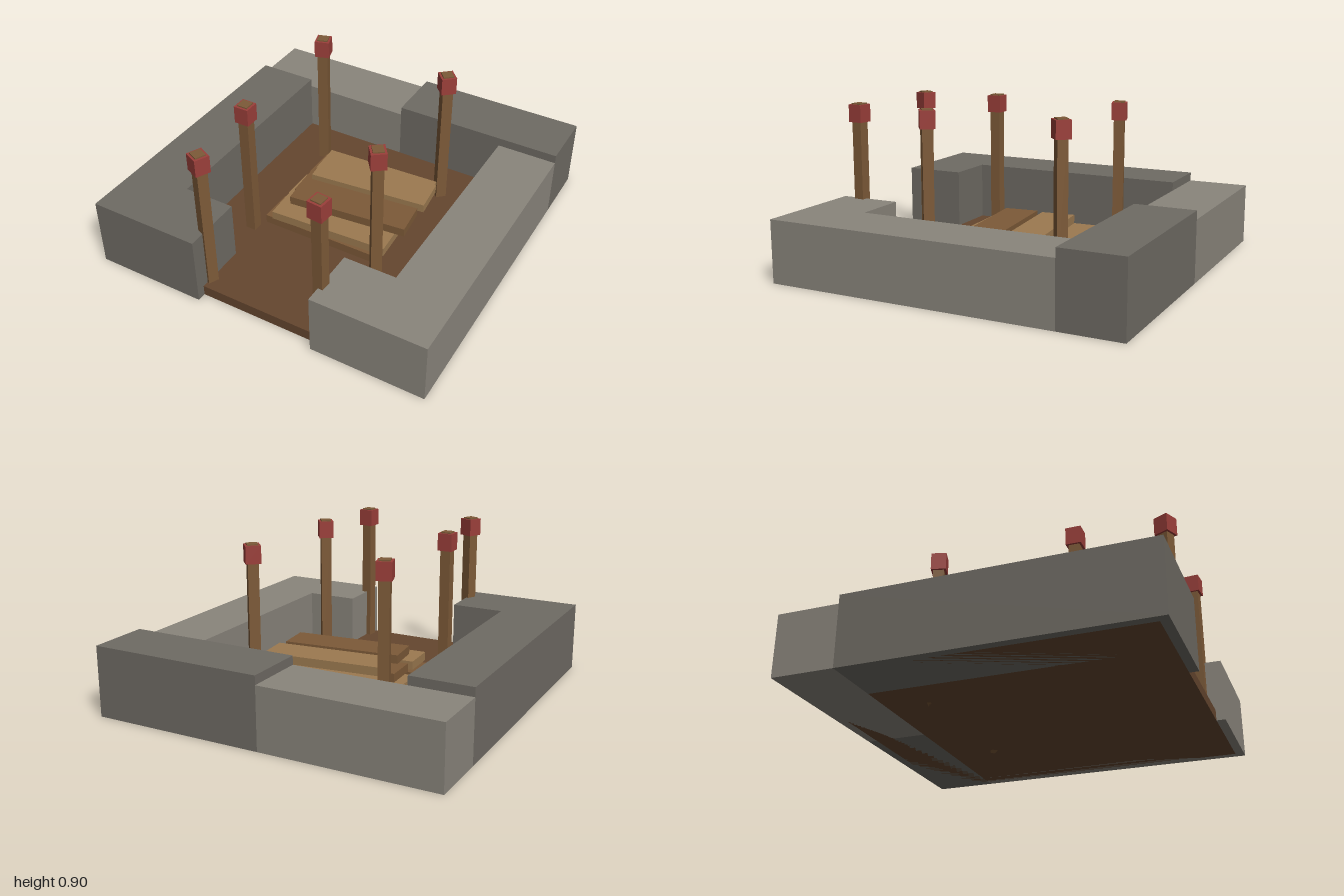
import * as THREE from 'three';

const mat = (color) => new THREE.MeshStandardMaterial({ color, flatShading: true });

export function createModel() {
  const model = new THREE.Group();
  const darkStone = mat(0x6f6b64), lightStone = mat(0x8a857c);
  const floorWood = mat(0x65462f), brownWood = mat(0x7d5a38);
  const paleWood = mat(0x9c7a50), red = mat(0x9b3f3a);

  function add(name, geometry, material, x, y, z, turn = 0, parent = model) {
    const mesh = new THREE.Mesh(geometry, material);
    mesh.name = name;
    mesh.position.set(x, y, z);
    mesh.rotation.y = turn;
    parent.add(mesh);
    return mesh;
  }

  // L-shaped side walls, turned inwards at the front to leave an entrance
  function sideWall(name, side, height, material) {
    const outline = [[1, -0.65], [1, 1], [0.35, 1], [0.35, 0.65], [0.65, 0.65], [0.65, -0.65]];
    const shape = new THREE.Shape(outline.map(([x, z]) => new THREE.Vector2(side * x, -z)));
    const geometry = new THREE.ExtrudeGeometry(shape, { depth: height, bevelEnabled: false });
    geometry.rotateX(-Math.PI / 2);
    add(name, geometry, material, 0, 0, 0);
  }
  sideWall('leftWall', 1, 0.35, lightStone);
  sideWall('rightWall', -1, 0.4, darkStone);

  // Back wall in two halves of different height
  add('backWallLeft', new THREE.BoxGeometry(1, 0.4, 0.35), darkStone, 0.5, 0.2, -0.825);
  add('backWallRight', new THREE.BoxGeometry(1, 0.35, 0.35), lightStone, -0.5, 0.175, -0.825);

  // Floor slab, running under the walls
  add('floor', new THREE.BoxGeometry(1.9, 0.06, 1.9), floorWood, 0, 0.03, 0);

  // Stacked planks, each layer shifted and turned a little further
  const plank = new THREE.BoxGeometry(0.7, 0.05, 0.2);
  const layers = [
    { x: 0, turn: 0, z: [-0.24, 0, 0.24], pale: 1 },
    { x: 0.05, turn: 0.05, z: [-0.24, 0, 0.24], pale: 0 },
    { x: 0.1, turn: 0.1, z: [-0.12, 0.12], pale: 0 },
  ];
  const stack = new THREE.Group();
  stack.name = 'plankStack';
  model.add(stack);
  layers.forEach(({ x, turn, z, pale }, level) => z.forEach((pz, i) =>
    add('plank', plank, i % 2 === pale ? paleWood : brownWood, x, 0.09 + level * 0.06, pz, turn, stack)));

  // Marker posts with red bands near the top
  const post = new THREE.BoxGeometry(0.06, 0.9, 0.06);
  const band = new THREE.BoxGeometry(0.085, 0.1, 0.085);
  const posts = [
    [-0.4, -0.4, 17], [0.4, -0.4, 42], [-0.4, 0.4, 0],
    [0.4, 0.4, 37], [-0.35, 0.88, -25], [0.35, 0.88, -5],
  ];
  for (const [x, z, degrees] of posts) {
    const marker = new THREE.Group();
    marker.name = 'markerPost';
    marker.position.set(x, 0, z);
    marker.rotation.y = THREE.MathUtils.degToRad(degrees);
    add('post', post, brownWood, 0, 0.45, 0, 0, marker);
    add('redBand', band, red, 0, 0.843, 0, 0, marker);
    model.add(marker);
  }
  return model;
}
